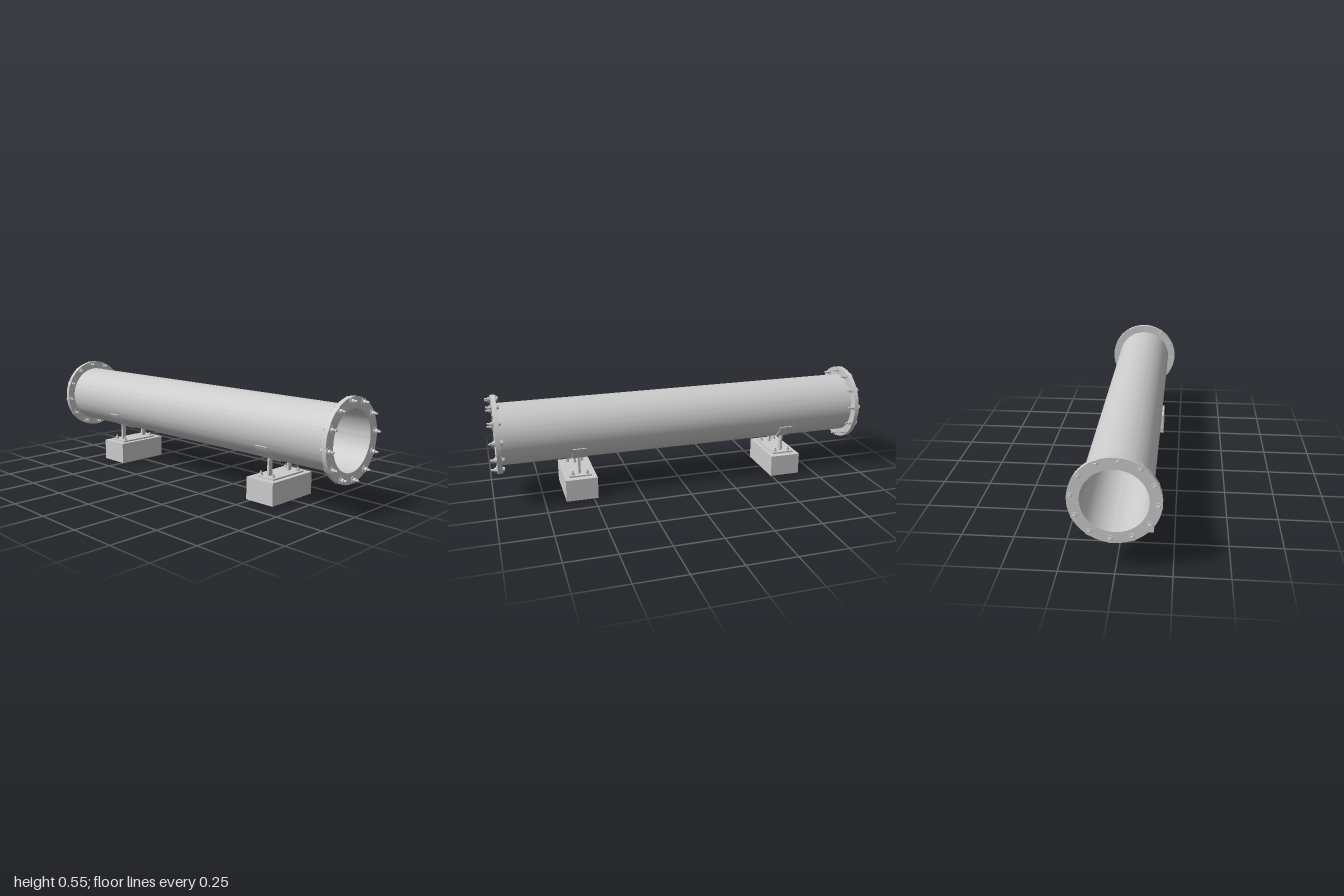
import * as THREE from 'three';
import { toCreasedNormals } from 'three/addons/utils/BufferGeometryUtils.js';

const material = new THREE.MeshStandardMaterial({ color: 0xcccccc });
const AXIS_Y = 0.35;
const PIPE_R = 0.158;

function part(name, geometry, parent, x = 0, y = 0, z = 0) {
  const mesh = new THREE.Mesh(geometry, material);
  mesh.name = name;
  mesh.position.set(x, y, z);
  parent.add(mesh);
  return mesh;
}

// Hollow ring along x, from x0 to x1
function ring(inner, outer, x0, x1) {
  const profile = [[inner, x0], [outer, x0], [outer, x1], [inner, x1], [inner, x0]]
    .map(([r, h]) => new THREE.Vector2(r, h));
  const geometry = new THREE.LatheGeometry(profile, 96).rotateZ(-Math.PI / 2);
  return toCreasedNormals(geometry, 0.6);
}

// Stack of cylinders rising along y: [name, radius, bottom, top, sides]
function stack(name, pieces) {
  const group = new THREE.Group();
  group.name = name;
  for (const [pieceName, r, y0, y1, sides] of pieces) {
    const geometry = toCreasedNormals(new THREE.CylinderGeometry(r, r, y1 - y0, sides), 0.6);
    part(pieceName, geometry, group, 0, (y0 + y1) / 2, 0);
  }
  return group;
}

// Flange with twelve bolts, heads towards -x and nuts towards +x
function createFlange(name, x) {
  const flange = new THREE.Group();
  flange.name = name;
  const thick = 0.023;
  part('flangeRing', ring(PIPE_R, 0.201, 0, thick), flange);
  for (let i = 0; i < 12; i++) {
    const angle = THREE.MathUtils.degToRad(5.8 + i * 30);
    const bolt = stack('flangeBolt', [
      ['boltHead', 0.0105, -0.013, -0.003, 6],
      ['headWasher', 0.018, -0.003, 0, 24],
      ['nutWasher', 0.018, thick, thick + 0.003, 24],
      ['nut', 0.0105, thick + 0.003, thick + 0.015, 6],
      ['stud', 0.0055, thick + 0.015, thick + 0.03, 16],
    ]);
    bolt.rotation.z = -Math.PI / 2;
    bolt.position.set(0, 0.184 * Math.cos(angle), 0.184 * Math.sin(angle));
    flange.add(bolt);
  }
  flange.position.set(x, AXIS_Y, 0);
  return flange;
}

// Curved pad under the pipe, an arc extruded along x
function saddleGeometry(width) {
  const start = Math.PI + 0.45;
  const end = 2 * Math.PI - 0.45;
  const shape = new THREE.Shape();
  shape.absarc(0, 0, PIPE_R + 0.005, start, end, false);
  shape.absarc(0, 0, PIPE_R - 0.001, end, start, true);
  shape.closePath();
  const geometry = new THREE.ExtrudeGeometry(shape, { depth: width, bevelEnabled: false, curveSegments: 40 });
  geometry.translate(0, 0, -width / 2).rotateY(Math.PI / 2);
  return toCreasedNormals(geometry, 0.6);
}

function createSupport(name, x) {
  const support = new THREE.Group();
  support.name = name;
  part('foundationBlock', new THREE.BoxGeometry(0.166, 0.115, 0.302), support, 0, 0.0575, 0);
  part('basePlate', new THREE.BoxGeometry(0.118, 0.008, 0.234), support, 0, 0.119, 0);
  part('saddle', saddleGeometry(0.071), support, 0, AXIS_Y, 0);
  for (const side of [-1, 1]) {
    part('leg', new THREE.BoxGeometry(0.012, 0.09, 0.025), support, 0, 0.167, side * 0.0755);
    for (const end of [-1, 1]) {
      const anchor = stack('anchorBolt', [
        ['anchorWasher', 0.0125, 0, 0.002, 20],
        ['anchorNut', 0.009, 0.002, 0.012, 6],
        ['anchorStud', 0.0045, 0.012, 0.02, 12],
      ]);
      anchor.position.set(end * 0.038, 0.123, side * 0.095);
      support.add(anchor);
    }
  }
  support.position.x = x;
  return support;
}

export function createModel() {
  const model = new THREE.Group();
  model.name = 'pipeSection';
  part('pipe', ring(0.147, PIPE_R, -0.987, 0.97), model, 0, AXIS_Y, 0);
  model.add(
    createFlange('rightFlange', -0.987),
    createFlange('leftFlange', 0.947),
    createSupport('rightSupport', -0.58),
    createSupport('leftSupport', 0.56),
  );
  return model;
}
